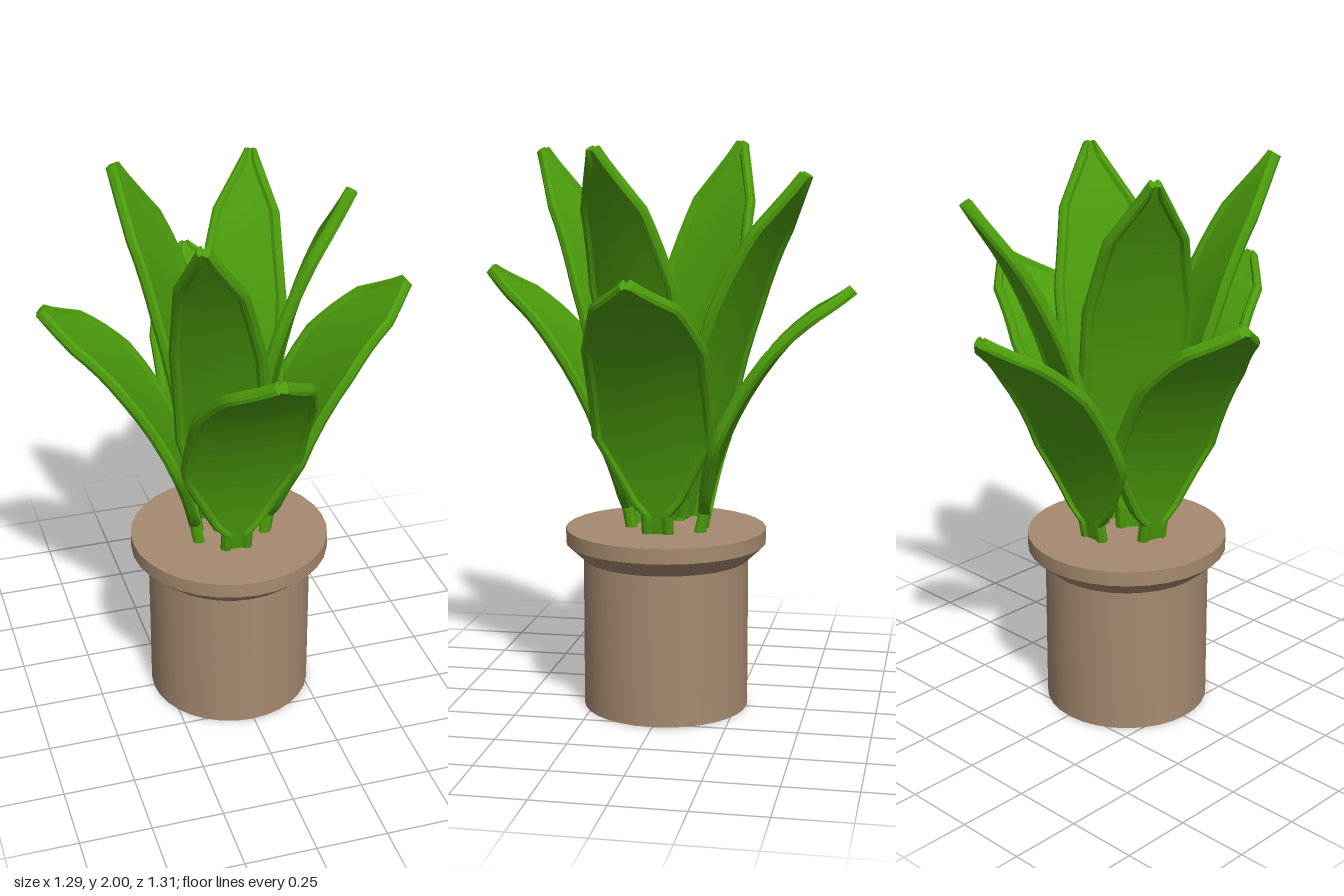
import * as THREE from 'three';
import { toCreasedNormals } from 'three/addons/utils/BufferGeometryUtils.js';

const GREEN = new THREE.MeshStandardMaterial({ color: 0x4c9c0c });
const CLAY = new THREE.MeshStandardMaterial({ color: 0xa68a70 });

// Spines are [distance from axis, height]; outlines are [fraction along leaf, half width].
const OUTER_OUTLINE = [[0, .055], [.08, .055], [.13, .1], [.34, .216], [.67, .211], [.87, .147], [1, .02]];
const BROAD_OUTLINE = [[0, .05], [.06, .055], [.12, .105], [.33, .19], [.62, .19], [.83, .14], [1, .02]];
const NARROW_OUTLINE = [[0, .05], [.06, .055], [.12, .105], [.3, .165], [.6, .16], [.83, .118], [1, .02]];
const OUTER_SPINE = [[.12, .63], [.18, .9], [.285, 1.15], [.44, 1.375], [.64, 1.55]];
const STEEP_SPINE = [[.07, .7], [.1, 1], [.16, 1.35], [.255, 1.68], [.385, 1.97]];
const LEANING_SPINE = [[.09, .7], [.16, 1], [.25, 1.35], [.38, 1.68], [.55, 1.965]];

// Closed cross-section [u, n] of a leaf: thin panel with a raised rim on both edges
function leafSection(w) {
  const p = Math.max(w - 0.036, w * 0.2);
  const rim = Math.max(w - 0.01, w * 0.7);
  const lip = (p + rim) / 2;
  const lower = [[-w, -.009], [-rim, -.02], [-lip, -.02], [-p, -.01], [-p / 2, -.01], [0, -.01],
    [p / 2, -.01], [p, -.01], [lip, -.02], [rim, -.02], [w, -.009]];
  return [...lower, ...lower.map(([u, n]) => [-u, -n])];
}

// Sweeps the section along the spine; the leaf leans towards +z
function leafGeometry(spinePoints, outline) {
  const spine = new THREE.CatmullRomCurve3(spinePoints.map(([r, y]) => new THREE.Vector3(0, y, r)));
  const stations = [];
  for (let k = 0; k < outline.length - 1; k++) {
    const [t0, w0] = outline[k], [t1, w1] = outline[k + 1];
    for (let s = 0; s < 4; s++) stations.push([t0 + (t1 - t0) * s / 4, w0 + (w1 - w0) * s / 4]);
  }
  stations.push(outline[outline.length - 1]);

  const positions = [], index = [];
  let count = 0;
  for (const [t, w] of stations) {
    const c = spine.getPointAt(t), tan = spine.getTangentAt(t);
    const section = leafSection(w);
    count = section.length;
    for (const [u, n] of section) {
      const h = n + 0.02 * (u / 0.2) ** 2; // edges cup towards the middle of the plant
      positions.push(u, c.y + tan.z * h, c.z - tan.y * h);
    }
  }
  const last = (stations.length - 1) * count;
  for (let i = 0; i < last; i += count) {
    for (let j = 0; j < count; j++) {
      const a = i + j, b = i + (j + 1) % count;
      index.push(a, b, a + count, b, b + count, a + count);
    }
  }
  // End caps
  for (let j = 1; j < count - 1; j++) {
    index.push(0, j + 1, j, last, last + j, last + j + 1);
  }
  const geometry = new THREE.BufferGeometry();
  geometry.setAttribute('position', new THREE.Float32BufferAttribute(positions, 3));
  geometry.setIndex(index);
  return toCreasedNormals(geometry, 0.5);
}

export function createModel() {
  const model = new THREE.Group();
  model.name = 'pottedPlant';

  // Pot: straight body, flared collar and flat soil-level top
  const profile = [[0, 0], [.293, 0], [.293, .535], [.355, .592], [.355, .645], [0, .645]]
    .map(([r, y]) => new THREE.Vector2(r, y));
  const pot = new THREE.Mesh(toCreasedNormals(new THREE.LatheGeometry(profile, 32), 0.5), CLAY);
  pot.name = 'pot';
  pot.position.set(-0.008, 0, 0.005);
  model.add(pot);

  // Leaves: turn in degrees from the front, height factor, x and z offset
  const addLeaf = (name, geometry, turn, rise = 1, x = 0, z = 0) => {
    const leaf = new THREE.Mesh(geometry, GREEN);
    leaf.name = name;
    leaf.rotation.y = THREE.MathUtils.degToRad(turn);
    leaf.scale.y = rise;
    leaf.position.set(x, 0.645 * (1 - rise), z);
    model.add(leaf);
  };

  const outer = leafGeometry(OUTER_SPINE, OUTER_OUTLINE);
  addLeaf('outerLeafFront', outer, -1.5, 1, -0.013, 0);
  addLeaf('outerLeafLeft', outer, 90, 1, -0.01, 0.012);
  addLeaf('outerLeafBack', outer, 181.5, 0.94, 0.027, -0.005);
  addLeaf('outerLeafRight', outer, -103.5, 1, -0.005, 0.04);

  const steep = leafGeometry(STEEP_SPINE, BROAD_OUTLINE);
  const leaning = leafGeometry(LEANING_SPINE, NARROW_OUTLINE);
  addLeaf('innerLeafFrontRight', leaning, -25);
  addLeaf('innerLeafFrontLeft', steep, 62, 1, 0.008, 0);
  addLeaf('innerLeafBackLeft', leaning, 156, 0.94);
  addLeaf('innerLeafBackRight', steep, -122, 1.015, -0.015, -0.01);

  return model;
}
